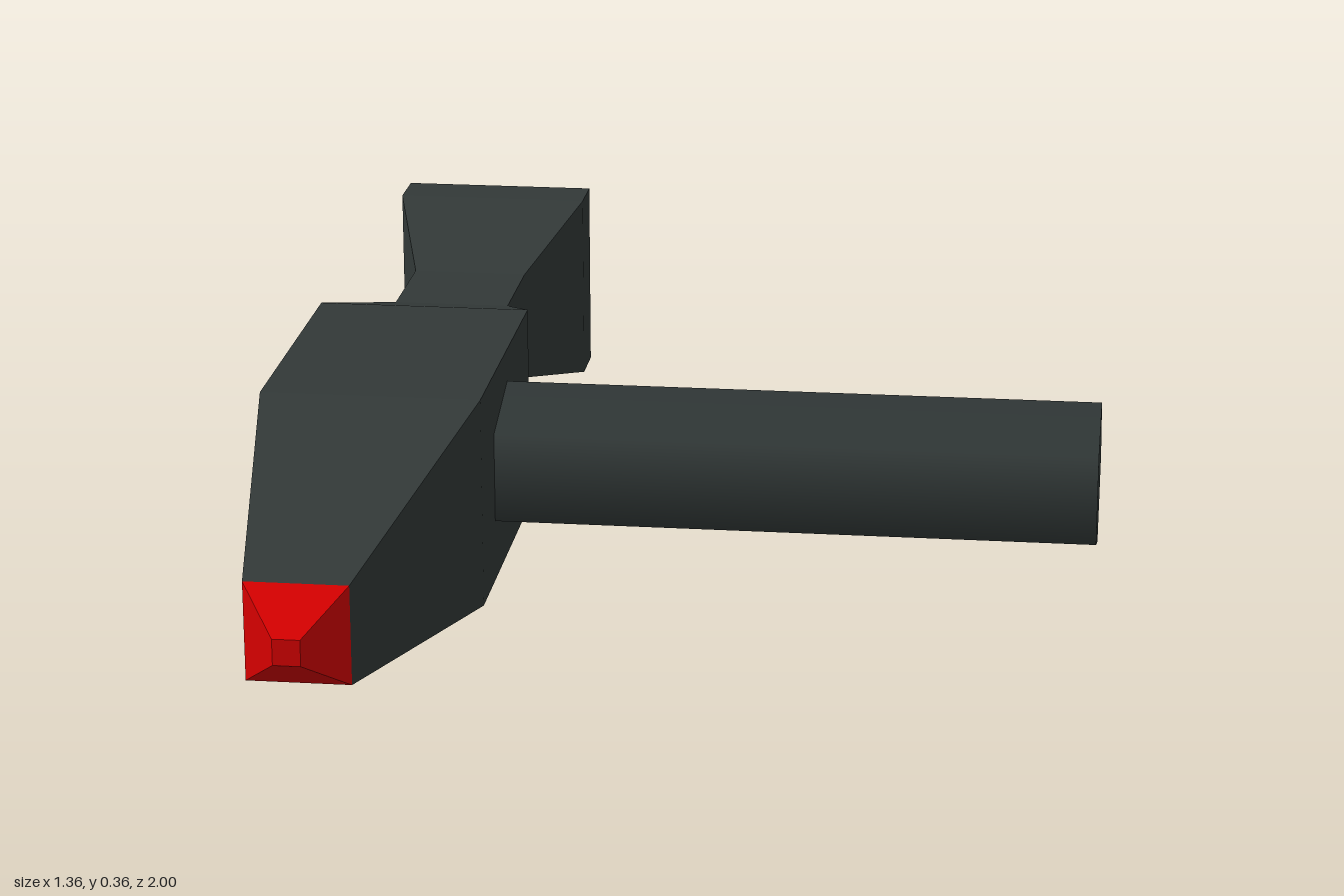
import * as THREE from 'three';

const HEAD_X = -0.499, AXIS_Y = 0.18, WIDEN = 1.02;

function material(name, color) {
  const m = new THREE.MeshStandardMaterial({ color });
  m.name = name;
  return m;
}

// Faceted, nearly square solid along z, from [half height, z] pairs ordered back to front
function squareLoft(sections) {
  const points = sections.map(([half, z]) => new THREE.Vector2(half * Math.SQRT2, z));
  const geometry = new THREE.LatheGeometry(points, 4, Math.PI / 4)
    .rotateX(Math.PI / 2).scale(WIDEN, 1, 1).toNonIndexed();
  geometry.computeVertexNormals();
  return geometry;
}

export function createModel() {
  const group = new THREE.Group();
  group.name = 'hammer';
  const steel = material('dark steel', 0x323938);
  const red = material('red', 0xd60000);
  const yellow = material('yellow green', 0xd1e600);

  const add = (name, geometry, mat, x, y, z) => {
    const mesh = new THREE.Mesh(geometry, mat);
    mesh.name = name;
    mesh.position.set(x, y, z);
    group.add(mesh);
  };

  // Head: flared striking end, narrow neck, thick middle and long taper
  add('head', squareLoft([
    [0.17, -1], [0.17, -0.91], [0.1, -0.65], [0.1, -0.45],
    [0.178, -0.18], [0.178, 0.32], [0.08, 0.92],
  ]), steel, HEAD_X, AXIS_Y, 0);

  // Blunt pyramid at the front, closed by a small square
  add('tip', squareLoft([[0.08, 0.92], [0.021, 1], [0, 1]]), red, HEAD_X, AXIS_Y, 0);

  // Flat striking face closing the back of the head
  const face = new THREE.PlaneGeometry(0.34 * WIDEN, 0.34).rotateY(Math.PI);
  add('strikingFace', face, yellow, HEAD_X, AXIS_Y, -1);

  // Five-sided handle with softly shaded sides
  const handle = new THREE.CylinderGeometry(0.129, 0.129, 1.02, 5, 1, false, Math.PI).rotateZ(-Math.PI / 2);
  add('handle', handle, steel, 0.17, AXIS_Y, 0.089);

  return group;
}
